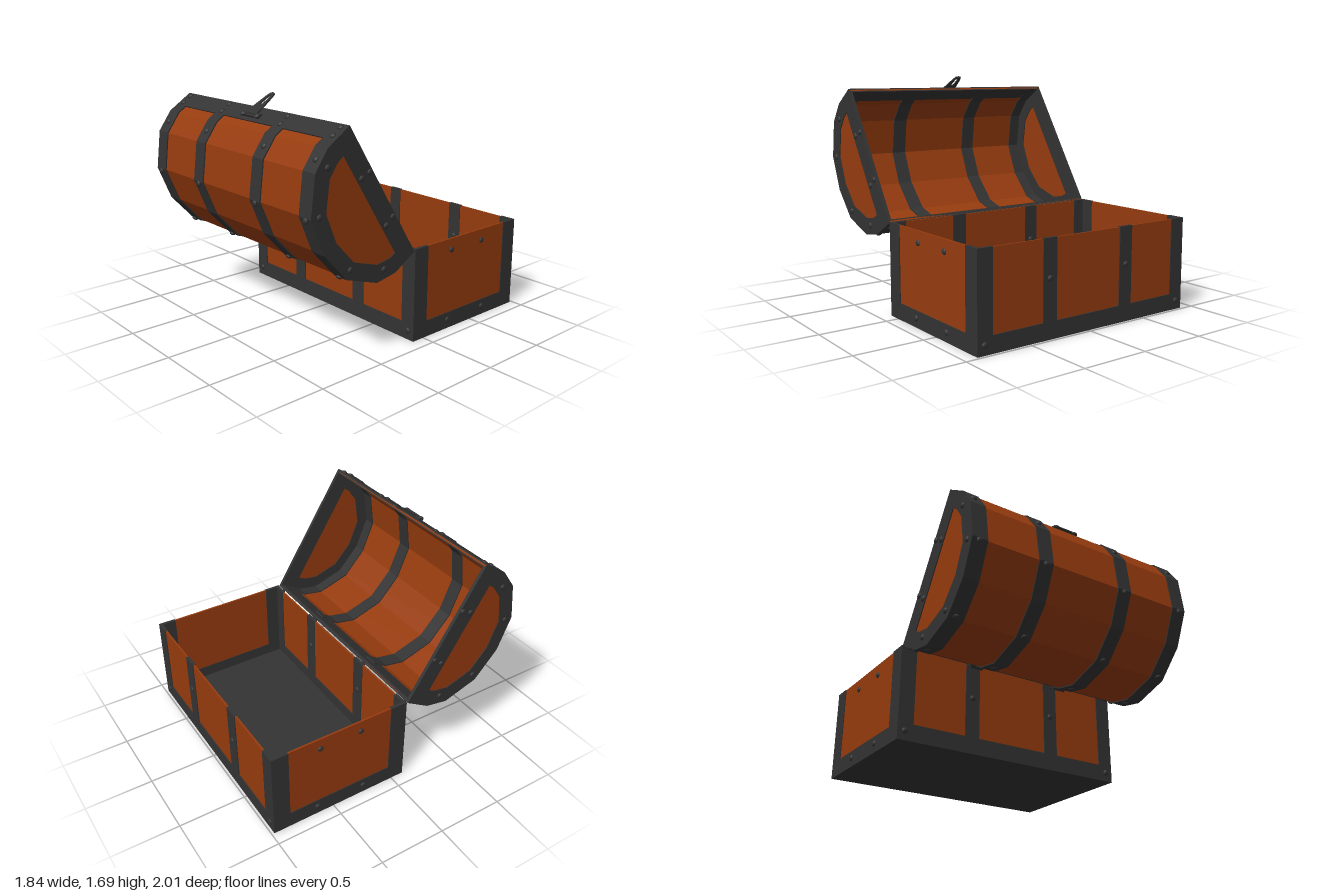
import * as THREE from 'three';

const wood = new THREE.MeshStandardMaterial({ color: 0x963b0e, flatShading: true });
const iron = new THREE.MeshStandardMaterial({ color: 0x333333, flatShading: true });
const rivetMat = new THREE.MeshStandardMaterial({ color: 0x333333 });

function add(parent, name, geometry, material, x = 0, y = 0, z = 0) {
  const mesh = new THREE.Mesh(geometry, material);
  mesh.name = name;
  mesh.position.set(x, y, z);
  parent.add(mesh);
  return mesh;
}

// Box given by its minimum and maximum corners
function block(parent, name, material, a, b) {
  const size = b.map((v, i) => v - a[i]);
  const mid = b.map((v, i) => (v + a[i]) / 2);
  return add(parent, name, new THREE.BoxGeometry(...size), material, ...mid);
}

// Flattened dome-headed rivet, squashed along its normal
const rivetGeo = new THREE.SphereGeometry(0.022, 10, 8).scale(1, 0.6, 1);
const UP = new THREE.Vector3(0, 1, 0);
function rivet(parent, pos, normal) {
  const mesh = add(parent, 'rivet', rivetGeo, rivetMat, ...pos);
  mesh.quaternion.setFromUnitVectors(UP, new THREE.Vector3(...normal).normalize());
}

const W = 0.905, H = 0.675, BACK = -0.98, FRONT = 0.1;
const STRIP_X = 0.335, STRIP_W = 0.112;
const MID_Z = (BACK + FRONT) / 2;

function createBase() {
  const base = new THREE.Group();
  base.name = 'chestBase';
  block(base, 'floor', iron, [-W, 0, BACK], [W, 0.03, FRONT]);

  // Long walls: recessed planks with iron straps showing on both faces
  for (const s of [-1, 1]) {
    const zAt = (depth) => (s > 0 ? FRONT : BACK) - s * depth;
    const wall = (name, mat, x0, x1, y0, y1, d0, d1) => {
      const [za, zb] = [zAt(d0), zAt(d1)].sort((p, q) => p - q);
      block(base, name, mat, [x0, y0, za], [x1, y1, zb]);
    };
    wall('longPlank', wood, -W + 0.006, W - 0.006, 0.02, H - 0.003, 0.007, 0.02);
    wall('longBottomBand', iron, -W, W, 0, 0.12, 0, 0.025);
    for (const m of [-1, 1]) {
      const c = m * (W - 0.0585);
      wall('cornerStrap', iron, c - 0.0585, c + 0.0585, 0, H, 0, 0.025);
      wall('middleStrap', iron, m * STRIP_X - STRIP_W / 2, m * STRIP_X + STRIP_W / 2, 0, H, 0, 0.025);
      rivet(base, [m * 0.85, 0.067, zAt(0)], [0, 0, s]);
      rivet(base, [m * STRIP_X, 0.41, zAt(0)], [0, 0, s]);
      rivet(base, [m * STRIP_X, 0.41, zAt(0.025)], [0, 0, -s]);
    }
  }

  // Short walls
  for (const s of [-1, 1]) {
    const wall = (name, mat, z0, z1, y0, y1, d0, d1) => {
      const [xa, xb] = [s * (W - d0), s * (W - d1)].sort((p, q) => p - q);
      block(base, name, mat, [xa, y0, z0], [xb, y1, z1]);
    };
    wall('sidePlank', wood, BACK + 0.01, FRONT - 0.01, 0.02, H - 0.002, 0.006, 0.02);
    wall('sideBottomBand', iron, BACK, FRONT, 0, 0.12, 0, 0.025);
    wall('sideCornerStrap', iron, BACK, BACK + 0.13, 0, H, 0, 0.025);
    wall('sideCornerStrap', iron, FRONT - 0.13, FRONT, 0, H, 0, 0.025);
    for (const m of [-1, 1]) {
      rivet(base, [s * W, 0.067, MID_Z + m * 0.19], [s, 0, 0]);
      rivet(base, [s * (W - 0.006), 0.59, MID_Z + m * 0.162], [s, 0, 0]);
    }
  }
  return base;
}

// Half of a symmetric outline, mirrored into a full one
const mirrored = (half) => [...half, ...half.slice(0, -1).reverse().map(([u, n]) => [-u, n])];
const DOME = mirrored([[0.55, 0], [0.545, 0.207], [0.48, 0.366], [0.265, 0.543], [0, 0.59]]);
const WINDOW = mirrored([[0.425, 0.135], [0.42, 0.195], [0.375, 0.3], [0.212, 0.436], [0, 0.474]]);
const scaled = (pts, k) => pts.map(([u, n]) => new THREE.Vector2(u * k, n * k));

function extrude(shape, depth) {
  return new THREE.ExtrudeGeometry(shape, { depth, bevelEnabled: false });
}

// Lid axes: x across the opening, y out through the dome, z along the chest
function createLid() {
  const lid = new THREE.Group();
  lid.name = 'chestLid';
  const arch = (name, mat, kOut, kIn, z0, z1) => {
    const shape = new THREE.Shape([...scaled(DOME, kOut), ...scaled(DOME, kIn).reverse()]);
    add(lid, name, extrude(shape, z1 - z0), mat, 0, 0, z0);
  };

  // Curved planks and the straps over them
  arch('domePlanks', wood, 0.985, 0.965, -W + 0.01, W - 0.01);
  for (const s of [-1, 1]) {
    const c = s * (W - 0.0585);
    arch('domeEndStrap', iron, 1, 0.95, c - 0.0585, c + 0.0585);
    arch('domeMiddleStrap', iron, 1, 0.95, s * STRIP_X - STRIP_W / 2, s * STRIP_X + STRIP_W / 2);

    // Lip band along each long edge of the opening
    const lip = new THREE.Shape([
      [0.55, 0], [0.5468, 0.135], [0.52, 0.135], [0.5225, 0],
    ].map(([u, n]) => new THREE.Vector2(s * u, n)));
    add(lid, 'lipBand', extrude(lip, 2 * W - 0.002), iron, 0, 0, -W + 0.001);

    // End wall: iron frame with a recessed wooden panel
    const frame = new THREE.Shape(scaled(DOME, 1));
    frame.holes.push(new THREE.Path(scaled(WINDOW, 1)));
    add(lid, 'endFrame', extrude(frame, 0.025), iron, 0, 0, s > 0 ? W - 0.025 : -W);
    const panel = new THREE.Shape(scaled(WINDOW, 1.04));
    add(lid, 'endPanel', extrude(panel, 0.012), wood, 0, -0.01, s * (W - 0.0125) - 0.006);

    // Rivets on the end frame
    for (const m of [-1, 1]) {
      for (const [u, n] of [[0.446, 0.272], [0.232, 0.486], [0.195, 0.025], [0.205, 0.1]]) {
        rivet(lid, [m * u, n, s * W], [0, 0, s]);
      }
    }
    // Rivets over the straps
    for (const x of [0.85, STRIP_X]) {
      for (const m of [-1, 1]) {
        for (const [u, n, nu, nn] of [
          [0.55, 0.03, 1, 0], [0.548, 0.105, 1, 0], [0.514, 0.285, 0.93, 0.38], [0.25, 0.55, 0.5, 0.87],
        ]) rivet(lid, [m * u, n, s * x], [m * nu, nn, 0]);
      }
    }

    // Hinge leaf and knuckles on the rear lip
    add(lid, 'hingeLeaf', new THREE.BoxGeometry(0.05, 0.05, 0.1), iron, -0.535, 0.075, s * 0.36);
    for (const n of [0.05, 0.09]) {
      const knuckle = new THREE.CylinderGeometry(0.01, 0.01, 0.1, 8).rotateX(Math.PI / 2);
      add(lid, 'hingeKnuckle', knuckle, iron, -0.56, n, s * 0.36);
    }
  }

  lid.add(createLatch());
  // Swing open about the front edge of the base
  lid.matrix.makeBasis(
    new THREE.Vector3(0, 0.844, 0.536),
    new THREE.Vector3(0, -0.536, 0.844),
    new THREE.Vector3(1, 0, 0),
  ).setPosition(0, 1.13, 0.405);
  lid.matrix.decompose(lid.position, lid.quaternion, lid.scale);
  return lid;
}

// Hasp: slotted tapering plate hung from a bar on the lid lip
function createLatch() {
  const latch = new THREE.Group();
  latch.name = 'latch';
  add(latch, 'latchPlate', new THREE.BoxGeometry(0.016, 0.04, 0.2), iron, 0.555, 0.085, 0);
  const bar = new THREE.CylinderGeometry(0.014, 0.014, 0.14, 8).rotateX(Math.PI / 2);
  add(latch, 'latchBar', bar, iron, 0.562, 0.075, 0);
  for (const s of [-1, 1]) rivet(latch, [0.563, 0.095, s * 0.08], [1, 0, 0]);

  const outline = mirrored([[0.06, 0], [0.055, 0.06], [0.032, 0.2], [0.022, 0.228], [0, 0.235]]);
  const shape = new THREE.Shape(scaled(outline, 1));
  shape.holes.push(new THREE.Path(
    [[-0.015, 0.11], [0.015, 0.11], [0.011, 0.2], [-0.011, 0.2]].map((p) => new THREE.Vector2(...p)),
  ));
  const hasp = extrude(shape, 0.01);
  hasp.applyMatrix4(new THREE.Matrix4().makeBasis(
    new THREE.Vector3(0, 0, 1), new THREE.Vector3(0, -1, 0), new THREE.Vector3(1, 0, 0),
  ));
  add(latch, 'hasp', hasp, iron, 0.557, 0.092, 0);
  return latch;
}

export function createModel() {
  const model = new THREE.Group();
  model.name = 'treasureChest';
  model.add(createBase(), createLid());
  return model;
}
